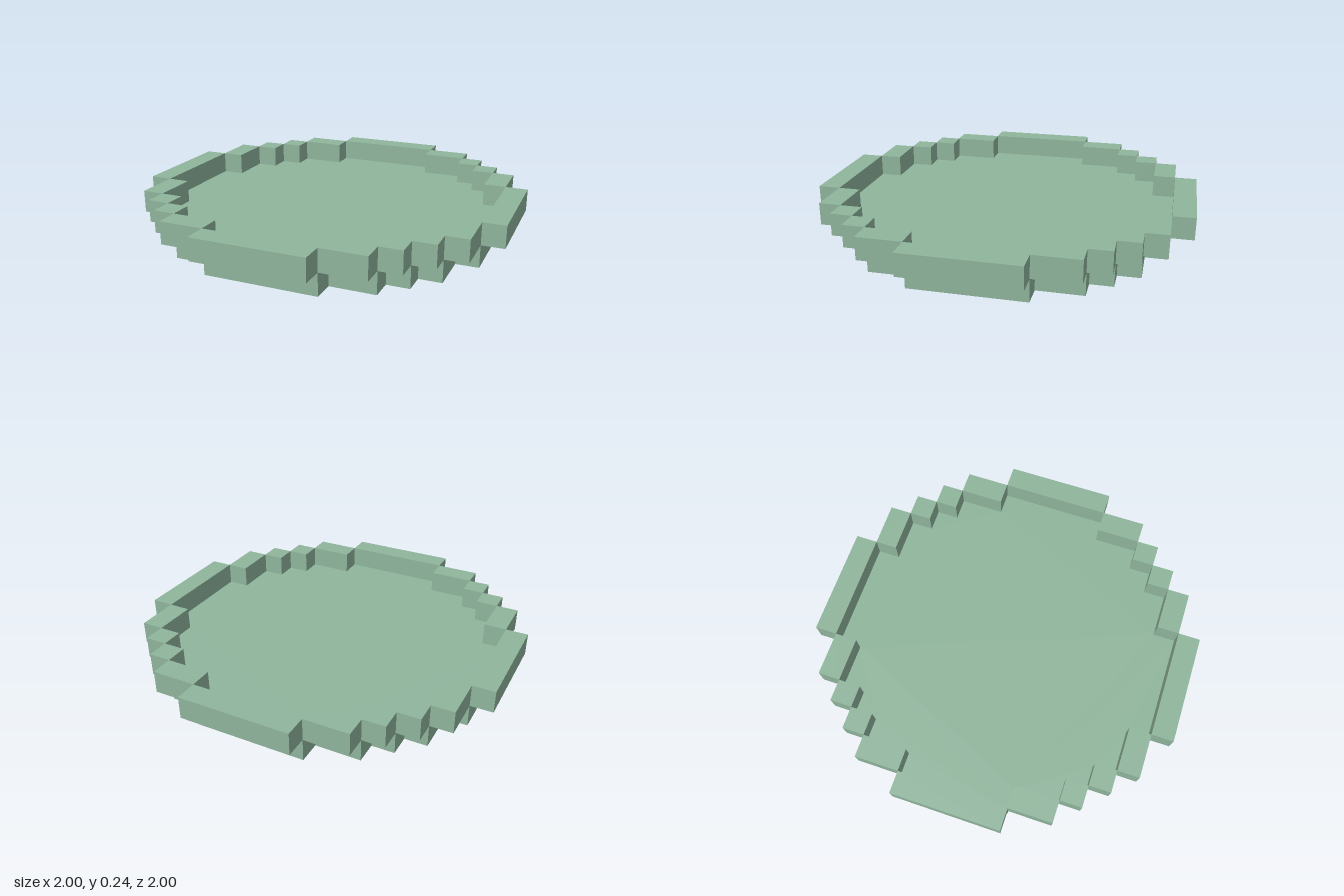
import * as THREE from 'three';

const U = 2 / 17; // one block

export function createModel() {
  const model = new THREE.Group();
  model.name = 'blockDish';
  const green = new THREE.MeshStandardMaterial({ color: 0x8fb59c });
  green.name = 'sage green';

  // Stepped floor slab: one quarter outline in blocks, mirrored around the centre
  const quarter = [
    [7.5, 2.5], [6.5, 2.5], [6.5, 4.5], [5.5, 4.5], [5.5, 5.5],
    [4.5, 5.5], [4.5, 6.5], [2.5, 6.5], [2.5, 7.5],
  ];
  const outline = [];
  for (let turn = 0; turn < 4; turn++) {
    for (const [x, y] of quarter) {
      const [px, py] = [[x, y], [-y, x], [-x, -y], [y, -x]][turn];
      outline.push(new THREE.Vector2(px * U, py * U));
    }
  }
  const floorGeometry = new THREE.ExtrudeGeometry(new THREE.Shape(outline), { depth: U, bevelEnabled: false });
  floorGeometry.rotateX(-Math.PI / 2);
  const floor = new THREE.Mesh(floorGeometry, green);
  floor.name = 'floor';
  model.add(floor);

  // Raised rim: the same five blocks on each quarter turn [x, z, width, depth]
  const rimBlocks = [
    [8, 0, 1, 5],
    [7, 3.5, 1, 2],
    [6, 5, 1, 1],
    [5, 6, 1, 1],
    [3.5, 7, 2, 1],
  ];
  for (let turn = 0; turn < 4; turn++) {
    const side = new THREE.Group();
    side.name = `rimQuarter${turn + 1}`;
    side.rotation.y = turn * Math.PI / 2;
    rimBlocks.forEach(([x, z, w, d], i) => {
      const block = new THREE.Mesh(new THREE.BoxGeometry(w * U, U, d * U), green);
      block.name = `rimBlock${i + 1}`;
      block.position.set(x * U, 1.5 * U, z * U);
      side.add(block);
    });
    model.add(side);
  }
  return model;
}
